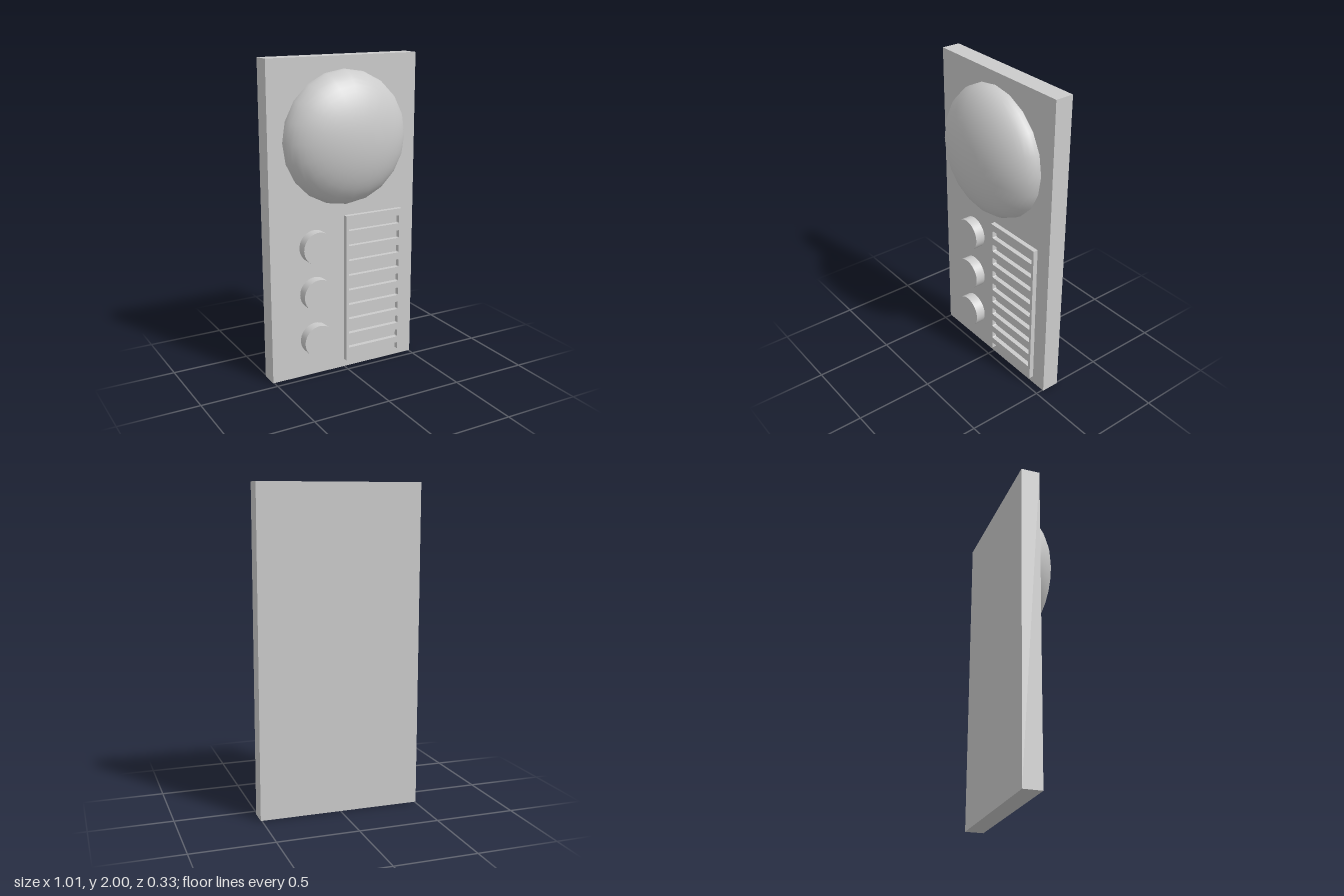
import * as THREE from 'three';

const material = new THREE.MeshStandardMaterial({ color: 0xcccccc });
const FACE = -0.05; // z of the panel's front face

// Slot outline with rounded corners
function slotPath(x0, x1, y0, y1, r) {
  const p = new THREE.Path();
  p.moveTo(x0 + r, y0);
  p.lineTo(x1 - r, y0);
  p.absarc(x1 - r, y0 + r, r, -Math.PI / 2, 0);
  p.lineTo(x1, y1 - r);
  p.absarc(x1 - r, y1 - r, r, 0, Math.PI / 2);
  p.lineTo(x0 + r, y1);
  p.absarc(x0 + r, y1 - r, r, Math.PI / 2, Math.PI);
  p.lineTo(x0, y0 + r);
  p.absarc(x0 + r, y0 + r, r, Math.PI, Math.PI * 1.5);
  return p;
}

export function createModel() {
  const group = new THREE.Group();
  const add = (name, geometry, x = 0, y = 0, z = 0) => {
    const mesh = new THREE.Mesh(geometry, material);
    mesh.name = name;
    mesh.position.set(x, y, z);
    group.add(mesh);
    return mesh;
  };

  // Back panel
  add('panel', new THREE.BoxGeometry(1.014, 2, 0.117), 0, 1, FACE - 0.0585);

  // Flattened dome
  const dome = new THREE.SphereGeometry(0.412, 20, 12, 0, Math.PI * 2, 0, Math.PI / 2);
  dome.rotateX(Math.PI / 2);
  add('dome', dome, 0, 1.51, FACE).scale.z = 0.215 / 0.412;

  // Three round knobs
  for (let i = 0; i < 3; i++) {
    const knob = new THREE.CylinderGeometry(0.103, 0.103, 0.065, 40);
    knob.rotateX(Math.PI / 2);
    add('knob' + (i + 1), knob, -0.208, 0.853 - i * 0.304, FACE + 0.0325);
  }

  // Slotted grille; the lowest slot runs out through the bottom edge
  const x0 = 0.017, x1 = 0.388, r = 0.008, notchTop = 0.096;
  const grille = new THREE.Shape();
  grille.moveTo(0, 0.05);
  grille.lineTo(x0, 0.05);
  grille.lineTo(x0, notchTop - r);
  grille.absarc(x0 + r, notchTop - r, r, Math.PI, Math.PI / 2, true);
  grille.lineTo(x1 - r, notchTop);
  grille.absarc(x1 - r, notchTop - r, r, Math.PI / 2, 0, true);
  grille.lineTo(x1, 0.05);
  grille.lineTo(0.405, 0.05);
  grille.lineTo(0.405, 1.022);
  grille.lineTo(0, 1.022);
  grille.closePath();
  for (let i = 0; i < 9; i++) {
    const y = 0.95 - i * 0.0983;
    grille.holes.push(slotPath(x0, x1, y - 0.026, y + 0.026, r));
  }
  add('grille', new THREE.ExtrudeGeometry(grille, { depth: 0.03, bevelEnabled: false, curveSegments: 4 }), 0, 0, FACE);

  return group;
}
